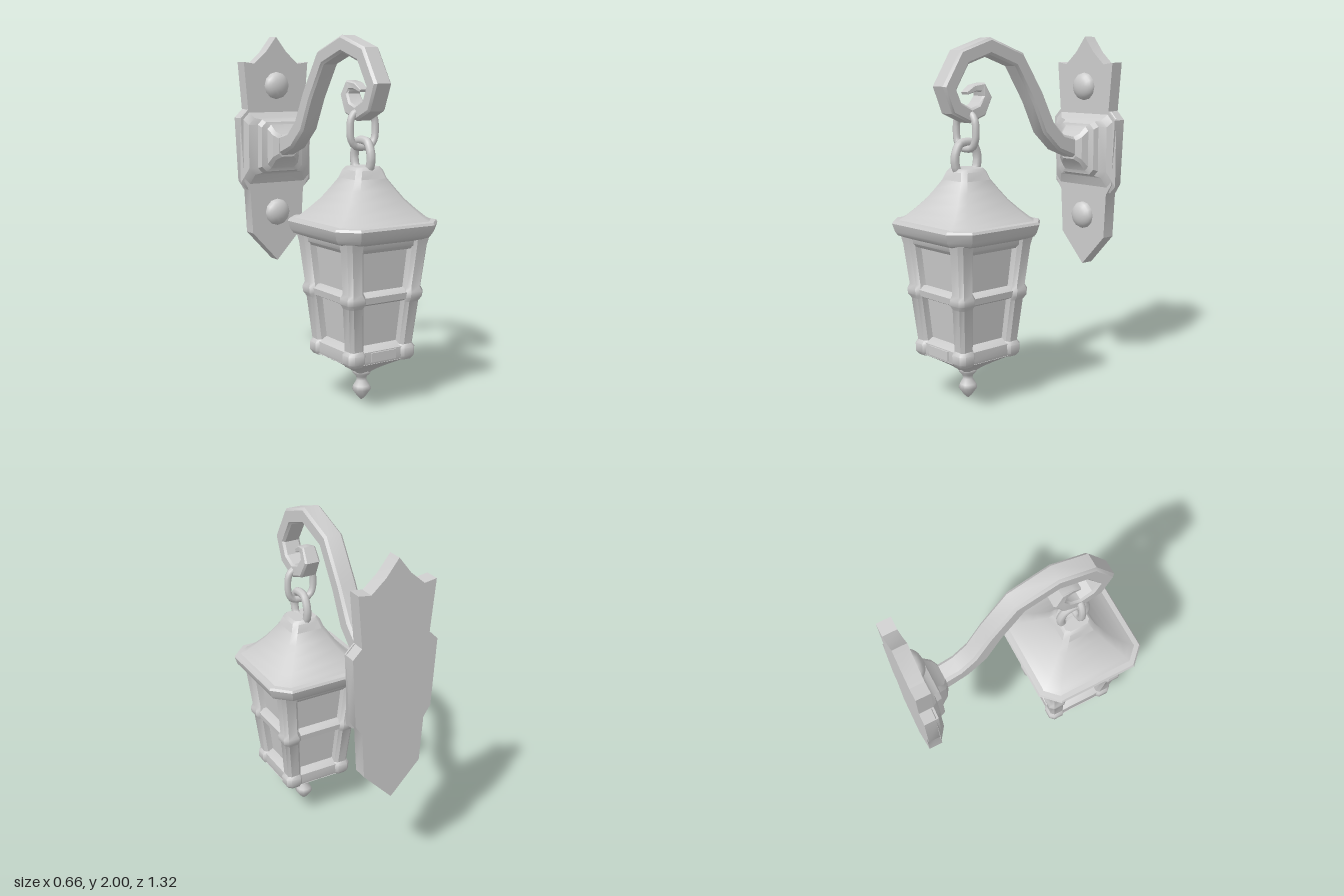
import * as THREE from 'three';
import { toCreasedNormals } from 'three/addons/utils/BufferGeometryUtils.js';

const metal = new THREE.MeshStandardMaterial({ color: 0xcccccc });
metal.name = 'pale metal';

const V = (x, y, z) => new THREE.Vector3(x, y, z);

function add(parent, name, geometry, crease = 0.6) {
  const mesh = new THREE.Mesh(crease ? toCreasedNormals(geometry, crease) : geometry, metal);
  mesh.name = name;
  parent.add(mesh);
  return mesh;
}

// Rectangle with cut corners, counter-clockwise
function cutRect(w, h, c) {
  return [[w, c - h], [w, h - c], [w - c, h], [c - w, h], [-w, h - c], [-w, c - h], [c - w, -h], [w - c, -h]];
}

// Skin over equal-count rings, with closed ends
function loft(rings) {
  const n = rings[0].length, pos = [], idx = [];
  rings.forEach(r => r.forEach(p => pos.push(p.x, p.y, p.z)));
  for (let k = 0; k < rings.length - 1; k++) {
    for (let i = 0; i < n; i++) {
      const j = (i + 1) % n, a = k * n, b = a + n;
      idx.push(a + i, a + j, b + j, a + i, b + j, b + i);
    }
  }
  [rings[0], rings[rings.length - 1]].forEach((r, end) => {
    const c = r.reduce((s, p) => s.add(p), V(0, 0, 0)).divideScalar(n);
    const ci = pos.length / 3, o = end ? (rings.length - 1) * n : 0;
    pos.push(c.x, c.y, c.z);
    for (let i = 0; i < n; i++) {
      const j = (i + 1) % n;
      if (end) idx.push(ci, o + i, o + j);
      else idx.push(ci, o + j, o + i);
    }
  });
  const g = new THREE.BufferGeometry();
  g.setAttribute('position', new THREE.Float32BufferAttribute(pos, 3));
  g.setIndex(idx);
  g.computeVertexNormals();
  return g;
}

// Upright square loft from rows of [y, half width, corner cut, centre x, centre z]
function tower(rows) {
  return loft(rows.map(([y, h, c, x = 0, z = 0]) =>
    cutRect(h, h, c).map(([u, v]) => V(x + u, y, z - v))));
}

// Closed chain link through a few points
function link(points, radius) {
  const curve = new THREE.CatmullRomCurve3(points, true, 'catmullrom', 0.4);
  return new THREE.TubeGeometry(curve, 28, radius, 8, true);
}

function wallBracket() {
  const g = new THREE.Group();
  g.name = 'wallBracket';

  // Back plate with a pointed foot and a peaked top
  const half = [[0.17, 0.82], [0.185, 1.08], [0.225, 1.14], [0.245, 1.52], [0.195, 1.57],
    [0.22, 1.85], [0.15, 1.84], [0.07, 1.91]];
  const outline = [[0, 0.64], ...half, [0, 2], ...half.slice().reverse().map(([x, y]) => [-x, y])];
  const plate = new THREE.ExtrudeGeometry(new THREE.Shape(outline.map(p => new THREE.Vector2(...p))),
    { depth: 0.08, bevelEnabled: false });
  plate.translate(0, 0, -0.665);
  add(g, 'backPlate', plate);

  // Stepped boss, rows of [z, half width, bottom, top, corner cut]
  const boss = [[-0.6, 0.243, 1.09, 1.57, 0.04], [-0.56, 0.205, 1.18, 1.52, 0.04], [-0.55, 0.15, 1.19, 1.51, 0.03],
    [-0.52, 0.14, 1.2, 1.495, 0.03], [-0.513, 0.105, 1.22, 1.48, 0.025], [-0.475, 0.09, 1.27, 1.44, 0.02],
    [-0.455, 0.06, 1.29, 1.42, 0.02]];
  add(g, 'boss', loft(boss.map(([z, w, b, t, c]) =>
    cutRect(w, (t - b) / 2, c).map(([u, v]) => V(u, (t + b) / 2 + v, z)))), 0.4);

  // Domed rivets
  for (const y of [0.94, 1.71]) {
    const rivet = add(g, 'rivet', new THREE.SphereGeometry(0.082, 12, 6, 0, Math.PI * 2, 0, Math.PI / 2), 0);
    rivet.rotation.x = Math.PI / 2;
    rivet.scale.y = 0.65;
    rivet.position.set(0, y, -0.587);
  }

  // Scrolled arm, rows of [z, y, half width, half thickness]
  const path = [[-0.48, 1.355, 0.055, 0.06], [-0.35, 1.395, 0.055, 0.05], [-0.25, 1.485, 0.055, 0.05],
    [-0.16, 1.66, 0.055, 0.046], [-0.02, 1.87, 0.055, 0.046], [0.19, 1.943, 0.055, 0.046],
    [0.37, 1.885, 0.055, 0.046], [0.47, 1.725, 0.055, 0.046], [0.425, 1.62, 0.055, 0.042],
    [0.33, 1.578, 0.055, 0.04], [0.25, 1.605, 0.052, 0.038], [0.208, 1.675, 0.046, 0.034],
    [0.235, 1.725, 0.04, 0.028], [0.285, 1.72, 0.032, 0.018], [0.335, 1.695, 0.025, 0.008]];
  const X = V(1, 0, 0);
  add(g, 'arm', loft(path.map(([z, y, w, t], i) => {
    const p = path[Math.max(i - 1, 0)], q = path[Math.min(i + 1, path.length - 1)];
    const side = V(0, q[1] - p[1], q[0] - p[0]).normalize().cross(X);
    return cutRect(w, t, t * 0.3).map(([u, v]) => V(u, y, z).addScaledVector(side, v));
  })), 0.65);
  return g;
}

function lantern() {
  const g = new THREE.Group();
  g.name = 'lantern';
  g.position.z = 0.327;

  // Chain link and the bail on the cap
  add(g, 'chainLink', link([[0.045, 1.585], [0.078, 1.54], [0.078, 1.45], [0.045, 1.403],
    [-0.045, 1.403], [-0.078, 1.45], [-0.078, 1.54], [-0.045, 1.585]].map(([x, y]) => V(x, y, 0)), 0.02), 0);
  add(g, 'bail', link([[0.04, 1.43], [0.072, 1.38], [0.077, 1.33], [0.055, 1.28],
    [-0.055, 1.28], [-0.077, 1.33], [-0.072, 1.38], [-0.04, 1.43]].map(([z, y]) => V(0, y, z)), 0.024), 0);

  // Eaves and flared roof
  add(g, 'eaves', tower([[0.915, 0.25, 0.06], [0.935, 0.3, 0.08], [0.955, 0.315, 0.09],
    [1.0, 0.328, 0.095], [1.013, 0.32, 0.09], [1.018, 0.28, 0.08]]));
  add(g, 'roof', tower([[1.005, 0.31, 0.08], [1.03, 0.268, 0.06], [1.07, 0.225, 0.045], [1.125, 0.175, 0.035],
    [1.18, 0.138, 0.03], [1.235, 0.103, 0.025], [1.28, 0.087, 0.025], [1.297, 0.072, 0.02]]), 0.7);

  // Recessed panes, and rails across the faces
  add(g, 'panes', tower([[0.3, 0.145, 0.01], [0.93, 0.2, 0.01]]));
  add(g, 'topRail', tower([[0.87, 0.225, 0.03], [0.89, 0.243, 0.03], [0.93, 0.25, 0.03]]));
  add(g, 'middleRail', tower([[0.585, 0.19, 0.03], [0.6, 0.222, 0.03], [0.635, 0.226, 0.03], [0.655, 0.195, 0.03]]));
  add(g, 'bottomRail', tower([[0.265, 0.195, 0.04], [0.285, 0.2, 0.04], [0.335, 0.198, 0.04], [0.36, 0.155, 0.04]]));

  // Corner posts with a knuckle at the middle rail and a block at the foot
  for (const sx of [-1, 1]) {
    for (const sz of [-1, 1]) {
      const post = rows => tower(rows.map(([y, c, h, cut]) => [y, h, cut, sx * c, sz * c]));
      add(g, 'cornerPost', post([[0.32, 0.158, 0.042, 0.018], [0.58, 0.179, 0.046, 0.018],
        [0.605, 0.184, 0.057, 0.022], [0.635, 0.186, 0.057, 0.022], [0.66, 0.186, 0.046, 0.018],
        [0.88, 0.205, 0.05, 0.02], [0.93, 0.209, 0.056, 0.02]]), 0.7);
      add(g, 'footBlock', post([[0.26, 0.158, 0.042, 0.02], [0.28, 0.161, 0.053, 0.024],
        [0.325, 0.161, 0.054, 0.024], [0.348, 0.159, 0.042, 0.02]]), 0.7);
    }
  }
  // Front sill plate
  add(g, 'sillPlate', new THREE.BoxGeometry(0.16, 0.05, 0.008)).position.set(0, 0.305, 0.203);

  // Tapered base and turned finial
  add(g, 'base', tower([[0.155, 0.03, 0.012], [0.175, 0.05, 0.02], [0.195, 0.075, 0.025],
    [0.22, 0.115, 0.03], [0.268, 0.2, 0.05]]));
  const profile = [[0, 0.005], [0.022, 0.025], [0.053, 0.068], [0.045, 0.09], [0.027, 0.12],
    [0.03, 0.14], [0.05, 0.16], [0.052, 0.18], [0.03, 0.2]];
  add(g, 'finial', new THREE.LatheGeometry(profile.map(p => new THREE.Vector2(...p)), 12), 0);
  return g;
}

export function createModel() {
  const model = new THREE.Group();
  model.name = 'wallLantern';
  model.add(wallBracket(), lantern());
  return model;
}
